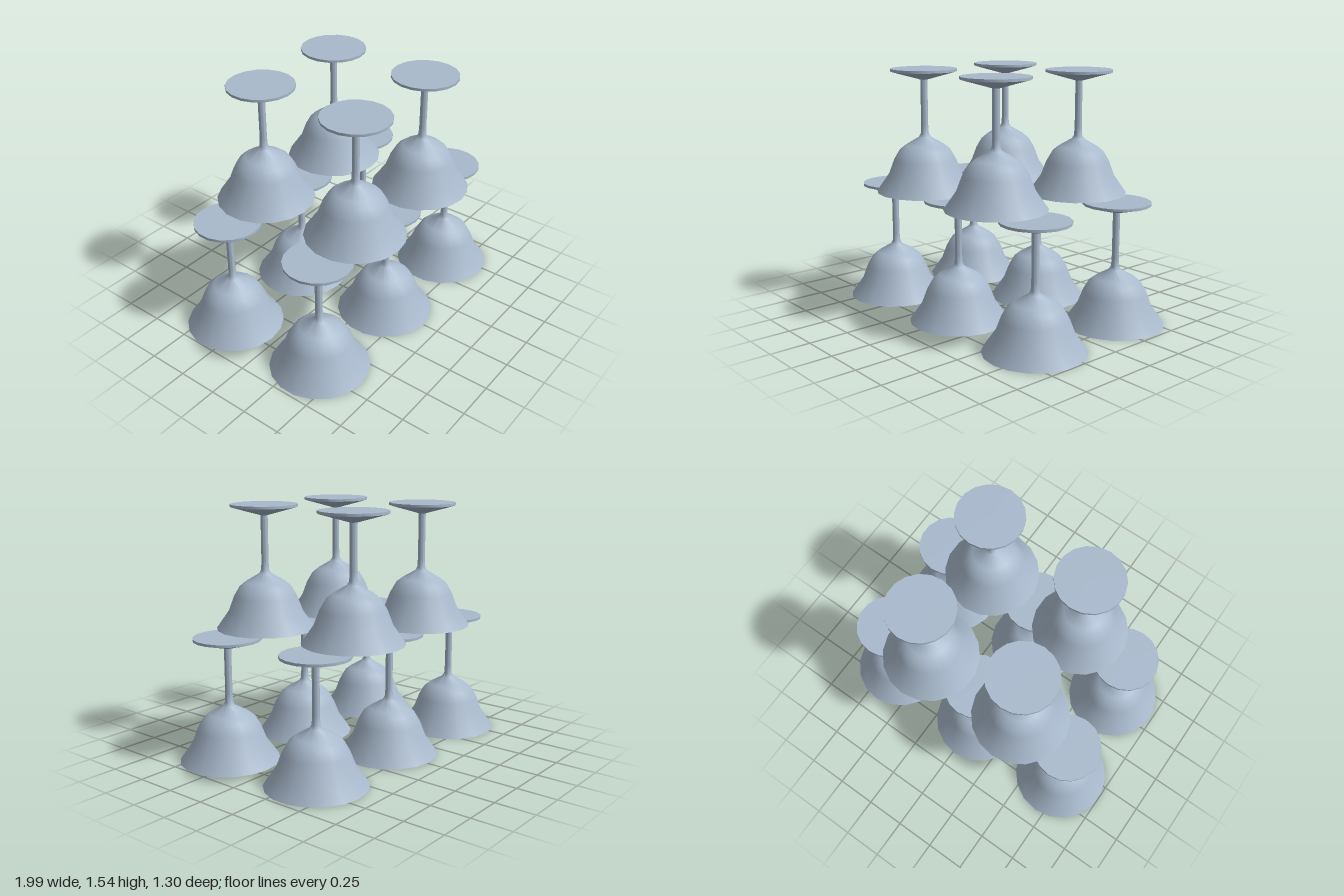
import * as THREE from 'three';
import { toCreasedNormals } from 'three/addons/utils/BufferGeometryUtils.js';

const HEIGHT = 0.768; // one upside-down goblet
const SIDES = 18;

function lathe(points) {
  const profile = points.map(([r, y]) => new THREE.Vector2(r, y));
  return toCreasedNormals(new THREE.LatheGeometry(profile, SIDES), 0.85);
}

export function createModel() {
  const model = new THREE.Group();
  model.name = 'gobletStack';

  const glass = new THREE.MeshStandardMaterial({ color: 0xa8b9cc, side: THREE.DoubleSide });
  glass.name = 'blueGreyGlass';

  // Hollow bowl (inner wall down, outer wall up), running into the stem
  const bowlAndStem = lathe([
    [0, 0.31], [0.115, 0.282], [0.187, 0.195], [0.222, 0.105], [0.302, 0],
    [0.307, 0], [0.23, 0.11], [0.196, 0.2], [0.16, 0.262], [0.122, 0.293],
    [0.038, 0.342], [0.025, 0.365], [0.022, 0.42], [0.022, 0.705],
  ]);

  // Conical foot, facing up, with a thin rim and a flat top
  const foot = lathe([
    [0.022, 0.7], [0.207, 0.752], [0.207, HEIGHT], [0, HEIGHT],
  ]);

  function addGoblet(x, y, z) {
    const goblet = new THREE.Group();
    goblet.name = 'goblet';
    const parts = { bowlAndStem, foot };
    for (const name in parts) {
      const mesh = new THREE.Mesh(parts[name], glass);
      mesh.name = name;
      goblet.add(mesh);
    }
    goblet.position.set(x, y, z);
    model.add(goblet);
  }

  // Two rows, slightly shifted against each other, each three below and two above
  for (const side of [-1, 1]) {
    const shift = side * 0.008;
    for (const x of [-0.684, -0.007, 0.684]) addGoblet(x + shift, 0, side * 0.341);
    for (const x of [-0.337, 0.349]) addGoblet(x + shift, HEIGHT, side * 0.341);
  }

  return model;
}
